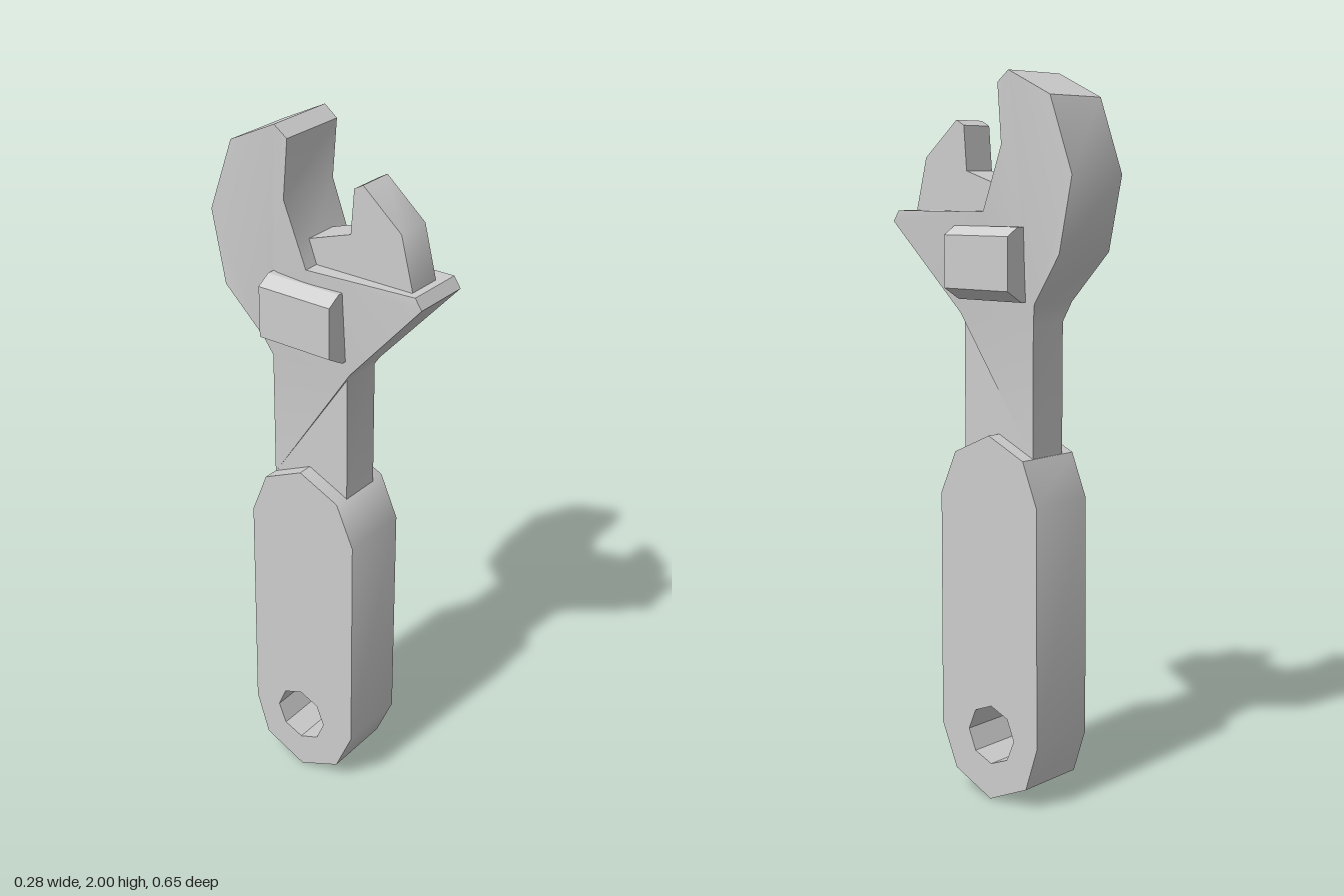
import * as THREE from 'three';
import { toCreasedNormals } from 'three/addons/utils/BufferGeometryUtils.js';

const steel = new THREE.MeshStandardMaterial({ color: 0xcccccc });
steel.name = 'steel grey';

// Side outline given as [z, y], extruded across x by +-half
function slab(name, outline, half, hole, widthRule) {
  const shape = new THREE.Shape(outline.map(([z, y]) => new THREE.Vector2(-z, y)));
  if (hole) shape.holes.push(new THREE.Path(hole.map(([z, y]) => new THREE.Vector2(-z, y))));
  let geo = new THREE.ExtrudeGeometry(shape, { depth: 2 * half, bevelEnabled: false });
  geo.translate(0, 0, -half).rotateY(Math.PI / 2);
  if (widthRule) {
    const p = geo.attributes.position;
    for (let i = 0; i < p.count; i++) {
      p.setX(i, widthRule(Math.sign(p.getX(i)), p.getY(i), p.getZ(i)));
    }
  }
  geo = toCreasedNormals(geo, 0.75);
  const mesh = new THREE.Mesh(geo, steel);
  mesh.name = name;
  return mesh;
}

const lerp = THREE.MathUtils.lerp;
const clamp = THREE.MathUtils.clamp;

export function createModel() {
  const group = new THREE.Group();
  group.name = 'adjustableWrench';

  // Grip with an octagonal hanging hole
  const hole = [];
  for (let i = 0; i < 8; i++) {
    const a = (i / 8) * Math.PI * 2;
    hole.push([-0.043 + 0.084 * Math.cos(a), 0.188 + 0.084 * Math.sin(a)]);
  }
  group.add(slab('grip', [
    [-0.035, 1.034], [0.09, 0.977], [0.144, 0.855], [0.144, 0.185], [0.09, 0.06],
    [-0.04, 0], [-0.172, 0.06], [-0.212, 0.185], [-0.207, 0.855], [-0.158, 0.977],
  ], 0.104, hole));

  // Neck and fixed jaw: thin at the neck, thick at the head, tapering at the front on the right
  group.add(slab('neckAndFixedJaw', [
    [0.092, 0.975], [0.092, 1.34], [0.104, 1.36], [0.325, 1.605], [0.305, 1.635], [-0.015, 1.635],
    [-0.08, 1.81], [-0.067, 1.97], [-0.105, 2], [-0.247, 1.933], [-0.321, 1.732],
    [-0.28, 1.53], [-0.175, 1.395], [-0.157, 1.34], [-0.157, 0.975],
  ], 0.1, null, (side, y, z) => {
    const low = lerp(0.061, 0.078, clamp((y - 1.34) / 0.055, 0, 1));
    const w = lerp(low, 0.103, clamp((y - 1.395) / 0.135, 0, 1));
    const taper = side < 0 && y > 1.5 ? lerp(0.103, 0.07, clamp((z + 0.1) / 0.4, 0, 1)) : 1;
    return side * Math.min(w, taper);
  }));

  // Sliding jaw
  group.add(slab('slidingJaw', [
    [0.283, 1.62], [0.283, 1.64], [0.247, 1.78], [0.13, 1.88], [0.103, 1.865],
    [0.093, 1.743], [-0.04, 1.7], [-0.015, 1.62],
  ], 0.051));

  // Adjusting block through the head, bevelled on its outer edges
  const half = [[0.085, 1.398], [0.14, 1.43], [0.14, 1.573], [0.1, 1.597]];
  const section = [...half, ...half.map(([x, y]) => [-x, y]).reverse()];
  const knobGeo = new THREE.ExtrudeGeometry(
    new THREE.Shape(section.map(([x, y]) => new THREE.Vector2(x, y))),
    { depth: 0.229, bevelEnabled: false });
  knobGeo.translate(0, 0, -0.136);
  const knob = new THREE.Mesh(knobGeo, steel);
  knob.name = 'adjustingBlock';
  group.add(knob);

  return group;
}
